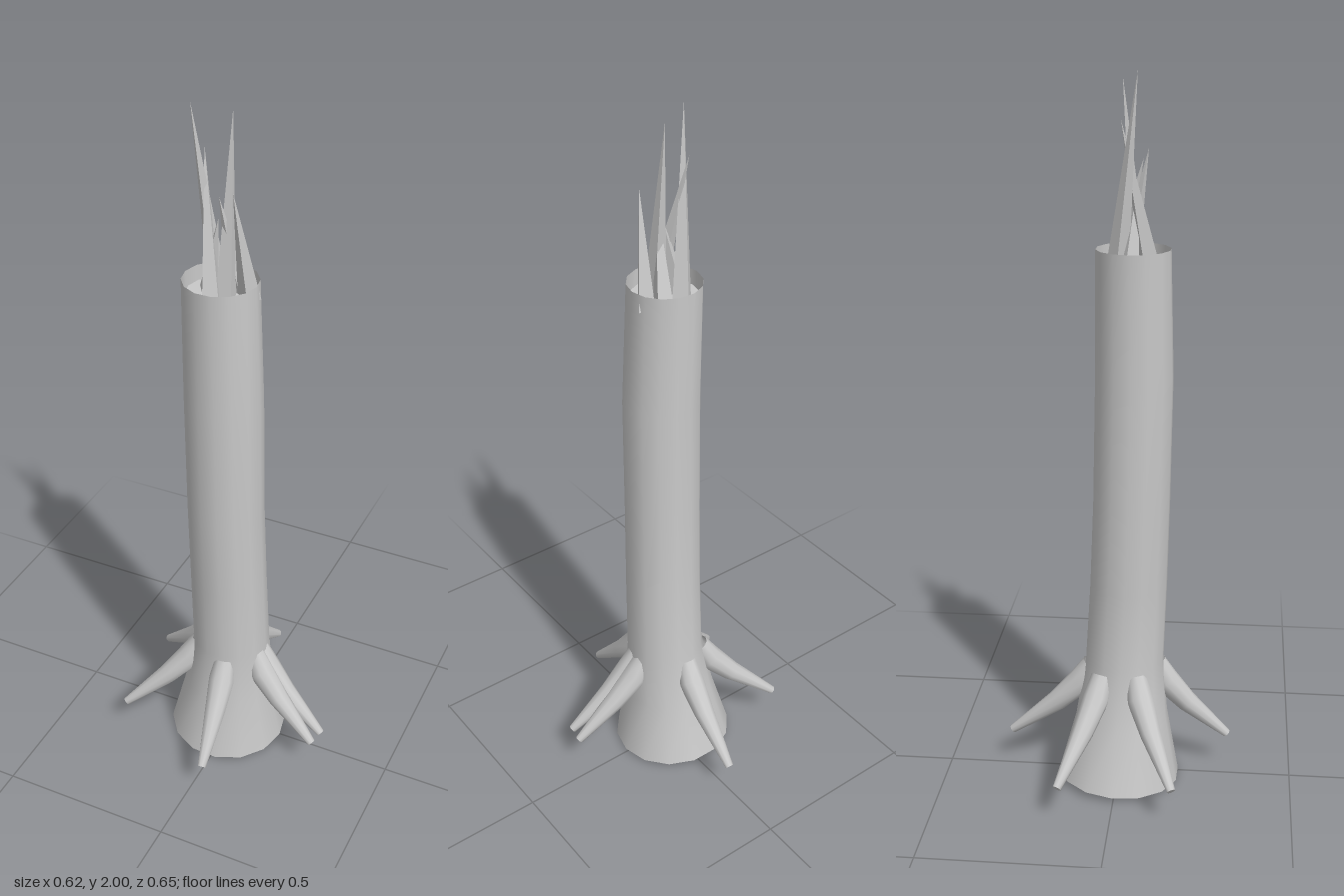
import * as THREE from 'three';

// Skin a row of rings [x, y, z, radius] into a round-sided surface
function loft(rings, sides, { upright = false, capped = false, turn = 0 } = {}) {
  const pts = rings.map(r => new THREE.Vector3(r[0], r[1], r[2]));
  const pos = [], index = [];
  const n = rings.length;
  pts.forEach((c, i) => {
    const axis = upright ? new THREE.Vector3(0, 1, 0)
      : pts[Math.min(i + 1, n - 1)].clone().sub(pts[Math.max(i - 1, 0)]).normalize();
    const side = upright ? new THREE.Vector3(0, 0, 1)
      : new THREE.Vector3(0, 1, 0).cross(axis).normalize();
    const up = axis.clone().cross(side);
    for (let j = 0; j < sides; j++) {
      const a = turn + j / sides * Math.PI * 2;
      const p = c.clone().addScaledVector(side, Math.cos(a) * rings[i][3])
        .addScaledVector(up, Math.sin(a) * rings[i][3]);
      pos.push(p.x, p.y, p.z);
    }
  });
  for (let i = 0; i < n - 1; i++) for (let j = 0; j < sides; j++) {
    const k = (j + 1) % sides;
    const a = i * sides + j, b = i * sides + k, c = b + sides, d = a + sides;
    index.push(a, b, c, a, c, d);
  }
  if (capped) {
    // separate end points keep the rim sharp
    const start = pos.length / 3, last = (n - 1) * sides * 3;
    for (let j = 0; j < sides * 3; j++) pos.push(pos[last + j]);
    for (let j = 1; j < sides - 1; j++) index.push(start, start + j, start + j + 1);
  }
  const g = new THREE.BufferGeometry();
  g.setAttribute('position', new THREE.Float32BufferAttribute(pos, 3));
  g.setIndex(index);
  g.computeVertexNormals();
  return g;
}

export function createModel() {
  const model = new THREE.Group();
  const bark = new THREE.MeshStandardMaterial({ color: 0xc8c8c8, side: THREE.DoubleSide });
  bark.name = 'grey bark';
  const add = (geometry, name) => {
    const mesh = new THREE.Mesh(geometry, bark);
    mesh.name = name;
    model.add(mesh);
    return mesh;
  };

  // Hollow trunk, flared at the foot and slightly bent
  const trunk = loft([
    [-0.02, 0, 0.002, 0.175],
    [-0.013, 0.2, 0.01, 0.132],
    [-0.003, 0.37, 0.018, 0.112],
    [-0.006, 0.6, 0.029, 0.109],
    [-0.01, 0.85, 0.037, 0.107],
    [-0.012, 1.2, 0.043, 0.106],
    [-0.021, 1.548, 0.04, 0.1],
  ], 14, { upright: true, turn: 0.2 });
  // The foot is cut at a slight slant
  const tp = trunk.attributes.position;
  for (let i = 0; i < 14; i++) tp.setY(i, 0.011 - 0.05 * tp.getZ(i) - 0.03 * tp.getX(i));
  trunk.computeVertexNormals();
  add(trunk, 'trunk');

  // Floor just below the broken top
  const heart = add(new THREE.CircleGeometry(0.091, 14), 'heartwood');
  heart.rotation.x = -Math.PI / 2;
  heart.position.set(-0.021, 1.51, 0.04);

  // Roots: start x, z and tip x, z
  const roots = [
    [-0.01, -0.075, 0.007, -0.315],
    [-0.085, -0.04, -0.302, -0.143],
    [-0.085, 0.055, -0.287, 0.17],
    [0.015, 0.105, 0.041, 0.315],
    [0.08, 0.01, 0.302, 0.041],
    [0.08, 0.04, 0.293, 0.09],
  ];
  const steps = [[0, 0.345, 0.03], [0.14, 0.287, 0.038], [0.44, 0.215, 0.03], [1, 0.108, 0.012]];
  for (const [x0, z0, x1, z1] of roots) {
    const rings = steps.map(([t, y, r]) => [x0 + (x1 - x0) * t, y, z0 + (z1 - z0) * t, r]);
    add(loft(rings, 10, { capped: true }), 'root');
  }

  // Splinters: base x, z, then tip x, y, z
  const splinters = [
    [-0.045, 0.0, -0.09, 2.0, 0.055],
    [0.0, 0.055, 0.0, 1.98, 0.01],
    [0.05, 0.02, 0.03, 1.8, 0.075],
    [-0.025, 0.085, -0.075, 1.88, 0.012],
    [0.012, 0.0, -0.012, 1.78, 0.065],
    [-0.06, 0.03, -0.02, 1.72, 0.05],
  ];
  splinters.forEach(([x, z, tx, ty, tz], i) => {
    const g = new THREE.ConeGeometry(0.03, 1, 4, 1, true).toNonIndexed();
    g.rotateY(i * 0.9);
    g.translate(0, 0.5, 0);
    // Shear each cone so that its point leans to the tip
    const p = g.attributes.position, h = ty - 1.5;
    for (let k = 0; k < p.count; k++) {
      const t = p.getY(k);
      p.setXYZ(k, p.getX(k) + x + (tx - x) * t, 1.5 + h * t, p.getZ(k) + z + (tz - z) * t);
    }
    g.computeVertexNormals();
    add(g, 'splinter');
  });
  return model;
}
